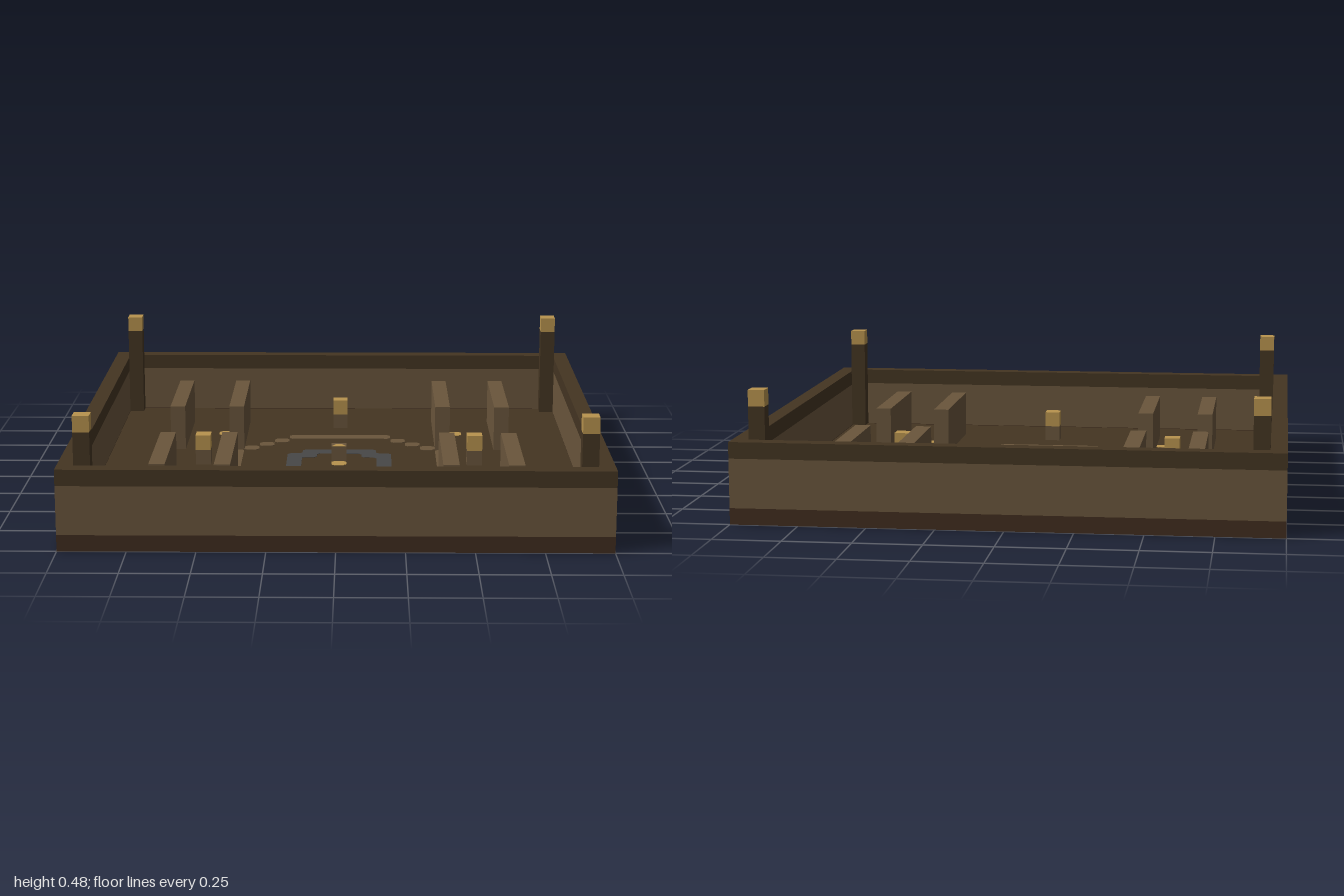
import * as THREE from 'three';

const U = 2 / 33; // one block
const mat = (name, color) => {
  const m = new THREE.MeshStandardMaterial({ color });
  m.name = name;
  return m;
};

export function createModel() {
  const model = new THREE.Group();
  model.name = 'courtyard';
  const dark = mat('dark wood', 0x443522);
  const base = mat('base brown', 0x402d1f);
  const tan = mat('tan wood', 0x6a563c);
  const gold = mat('gold', 0xb8934e);
  const grey = mat('grey stone', 0x484848);

  // Box given by its centre block (x, z), bottom row and size, all in blocks
  const block = (name, m, x, y, z, w = 1, h = 1, d = 1) => {
    const mesh = new THREE.Mesh(new THREE.BoxGeometry(w * U, h * U, d * U), m);
    mesh.position.set(x * U, (y + h / 2) * U, z * U);
    mesh.name = name;
    model.add(mesh);
    return mesh;
  };

  // Cuts every corner of an outline slightly
  const chamfer = (pts, c = 0.2) => pts.flatMap((p, i) => {
    const v = new THREE.Vector2(...p);
    return [pts[(i + pts.length - 1) % pts.length], pts[(i + 1) % pts.length]].map((q) => {
      const dir = new THREE.Vector2(...q).sub(v).normalize();
      return v.clone().addScaledVector(dir, c).multiplyScalar(U);
    });
  });

  // Pattern set through the whole floor
  const inlay = (name, m, outline, hole) => {
    const shape = new THREE.Shape(chamfer(outline));
    if (hole) shape.holes.push(new THREE.Path(chamfer(hole)));
    const geo = new THREE.ExtrudeGeometry(shape, { depth: U, bevelEnabled: false });
    const mesh = new THREE.Mesh(geo.rotateX(-Math.PI / 2), m);
    mesh.name = name;
    model.add(mesh);
  };
  const rect = (x, z, w, d) => [
    [x - w / 2, z - d / 2], [x + w / 2, z - d / 2],
    [x + w / 2, z + d / 2], [x - w / 2, z + d / 2],
  ];
  // Square of half size a with single-block notches at its corners
  const notched = (a) => {
    const b = a - 1;
    return [[-b, -a], [b, -a], [b, -b], [a, -b], [a, b], [b, b],
      [b, a], [-b, a], [-b, b], [-a, b], [-a, -b], [-b, -b]];
  };

  // Floor, a hair thinner than the inlays
  const floor = block('floor', dark, 0, 0.03, 0, 31, 0.94, 31);
  floor.name = 'floor';

  // Outer walls in three bands
  for (const [name, m, y, h] of [['wallBase', base, 0, 1], ['wallPanel', tan, 1, 3], ['wallTrim', dark, 4, 1]]) {
    for (const s of [-1, 1]) {
      block(name, m, 0, y, s * 16, 33, h, 1);
      block(name, m, s * 16, y, 0, 1, h, 31);
    }
  }

  // Everything repeated in the four quarters
  for (const sx of [-1, 1]) {
    for (const sz of [-1, 1]) {
      block('cornerPost', dark, sx * 15, 1, sz * 15, 1, 6, 1);
      block('cornerLamp', gold, sx * 15, 7, sz * 15);
      for (const x of [7, 11]) block('partition', tan, sx * x, 1, sz * 7.5, 1, 3, 8);
      for (const [x, z] of [[4, 6], [5, 5], [6, 4]]) {
        inlay('octagonStep', tan, rect(sx * x, sz * z, 1, 1));
      }
      inlay('floorMarker', gold, rect(sx * 8, sz * 8, 1, 1));
    }
  }

  // Straight sides of the octagon and the four short lamps
  for (const s of [-1, 1]) {
    inlay('octagonSide', tan, rect(0, s * 7, 7, 1));
    inlay('octagonSide', tan, rect(s * 7, 0, 1, 7));
    for (const [x, z] of [[s * 9, 0], [0, s * 10]]) {
      block('lampPost', tan, x, 1, z);
      block('lamp', gold, x, 2, z);
    }
  }

  // Centre: stone ring, marker and a small block
  inlay('stoneRing', grey, notched(3.5), notched(2.5));
  inlay('centreMarker', gold, rect(0, 0, 1, 1));
  block('centreBlock', tan, 0, 1, -1);
  const tip = new THREE.Shape([[-0.45, 0.5], [0.45, 0.5], [0.2, 1], [-0.2, 1]]
    .map(([x, y]) => new THREE.Vector2(x * U, y * U)));
  const tipMesh = new THREE.Mesh(
    new THREE.ExtrudeGeometry(tip, { depth: 0.003, bevelEnabled: false }).rotateX(-Math.PI / 2), gold);
  tipMesh.position.y = 2 * U;
  tipMesh.name = 'centreBlockInlay';
  model.add(tipMesh);

  return model;
}
